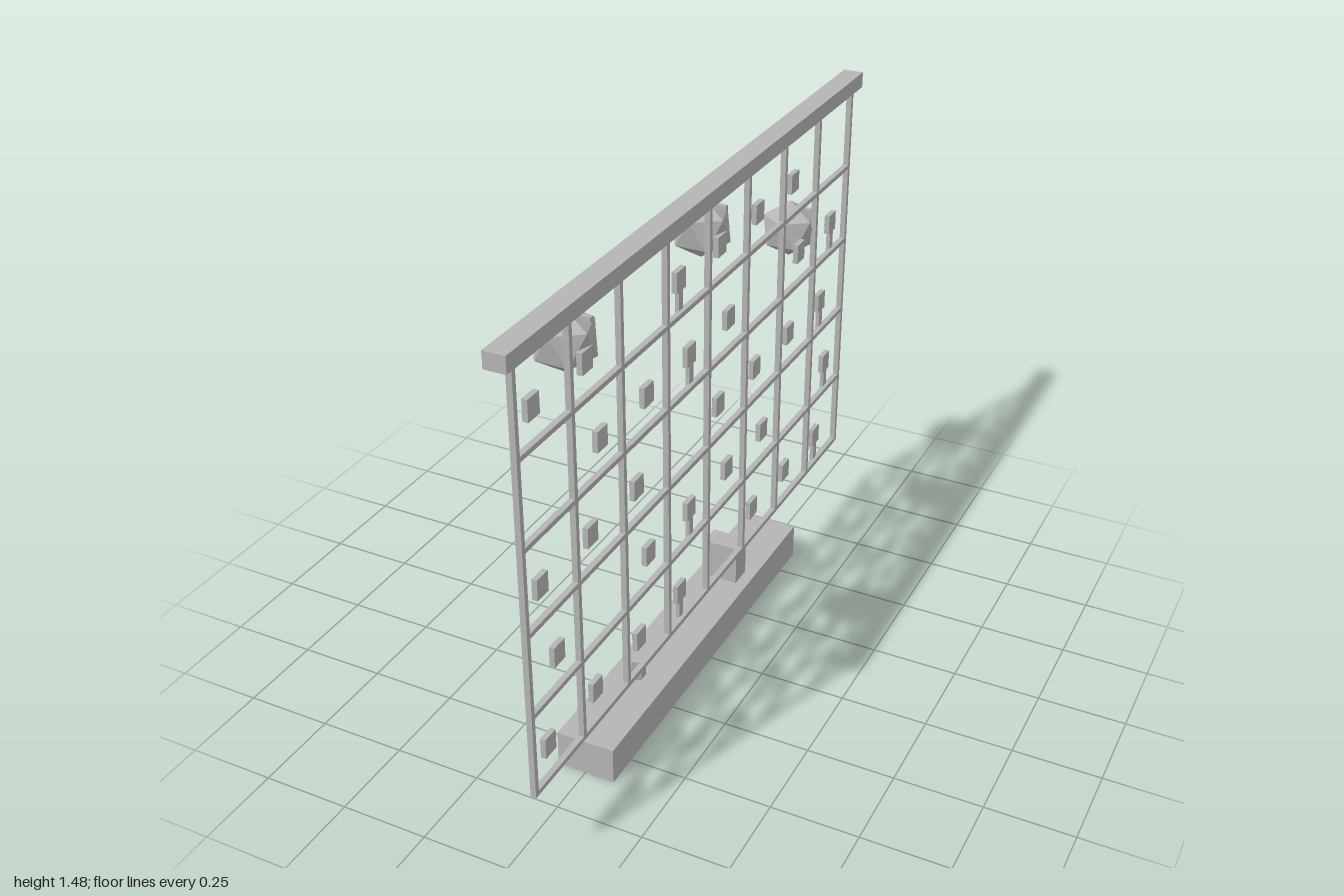
import * as THREE from 'three';

const grey = new THREE.MeshStandardMaterial({ color: 0xb4b4b4, flatShading: true });
grey.name = 'plain grey';

export function createModel() {
  const model = new THREE.Group();
  model.name = 'hangingLattice';

  const add = (name, geometry, x, y, z, parent = model) => {
    const mesh = new THREE.Mesh(geometry, grey);
    mesh.name = name;
    mesh.position.set(x, y, z);
    parent.add(mesh);
    return mesh;
  };
  // Box given by its limits on each axis
  const box = (name, [x0, x1], [y0, y1], [z0, z1], parent) =>
    add(name, new THREE.BoxGeometry(x1 - x0, y1 - y0, z1 - z0),
      (x0 + x1) / 2, (y0 + y1) / 2, (z0 + z1) / 2, parent);

  // Base with its block and hexagonal peg
  box('base', [-0.083, 0.086], [0, 0.107], [-0.6, 0.6]);
  box('baseBlock', [-0.055, 0.051], [0.107, 0.229], [-0.306, -0.238]);
  add('basePeg', new THREE.CylinderGeometry(0.027, 0.027, 0.061, 6), -0.01, 0.1375, 0.287);

  // Top rail
  box('topRail', [0.027, 0.086], [1.432, 1.477], [-1, 1]);

  // Lattice of eight by five cells
  const lattice = new THREE.Group();
  lattice.name = 'lattice';
  model.add(lattice);
  const pitch = 0.2388, bottom = 0.24, half = 0.007, depth = [0.058, 0.074];
  for (let i = -4; i <= 4; i++) {
    const z = i * pitch;
    box('latticeUpright', depth, [bottom - half, 1.434], [z - half, z + half], lattice);
  }
  for (let j = 0; j <= 5; j++) {
    const y = bottom + j * pitch;
    box('latticeCrossbar', depth, [y - half, y + half], [-0.962, 0.962], lattice);
  }

  // Small tags in rows from the top: z positions, those with a tail, those with a knob
  const rows = [
    { y: 1.284, z: [0.867, 0.628, 0.15, -0.089, -0.328, -0.567], tails: [0.15], knobs: [0.867, 0.15] },
    { y: 1.045, z: [0.568, 0.329, 0.09, -0.149, -0.627, -0.865], tails: [0.09, -0.865], knobs: [-0.865] },
    { y: 0.806, z: [0.867, 0.628, 0.389, -0.089, -0.328, -0.567, -0.806], tails: [-0.806], knobs: [-0.089, -0.806] },
    { y: 0.568, z: [0.806, 0.329, 0.09, -0.149, -0.389, -0.865], tails: [0.09, -0.865], knobs: [0.806] },
    { y: 0.329, z: [0.867, 0.628, 0.389, 0.15, -0.328, -0.567, -0.806], tails: [0.15, -0.806], knobs: [-0.806] },
  ];
  const tags = new THREE.Group();
  tags.name = 'tags';
  model.add(tags);
  for (const { y, z: places, tails, knobs } of rows) {
    for (const z of places) {
      box('tag', [0.049, 0.064], [y - 0.029, y + 0.029], [z - 0.025, z + 0.025], tags);
      if (tails.includes(z)) {
        box('tagTail', [0.051, 0.063], [y - 0.098, y - 0.029], [z - 0.011, z + 0.011], tags);
      }
      if (knobs.includes(z)) {
        box('tagKnob', [0.043, 0.049], [y - 0.016, y + 0.016], [z - 0.012, z + 0.012], tags);
      }
    }
  }

  // Faceted ball with a vertex at each pole, turned so an upper corner faces the front
  const ball = new THREE.IcosahedronGeometry(0.0875, 0);
  const pole = new THREE.Vector3(0, 1, (1 + Math.sqrt(5)) / 2).normalize();
  ball.applyQuaternion(new THREE.Quaternion().setFromUnitVectors(pole, new THREE.Vector3(0, 1, 0)));
  const p = ball.attributes.position;
  let corner = 0;
  for (let i = 0; i < p.count; i++) {
    if (p.getY(i) > 0.02 && p.getY(i) < 0.06) corner = Math.atan2(p.getX(i), p.getZ(i));
  }
  ball.rotateY(-corner);

  // Balls held to the lattice by short stems
  for (const [y, z] of [[1.31, 0.6], [1.31, -0.118], [1.072, -0.715]]) {
    add('ball', ball, -0.012, y, z);
    box('ballStem', [-0.005, 0.062], [y + 0.06, y + 0.073], [z - 0.006, z + 0.006]);
  }
  return model;
}
